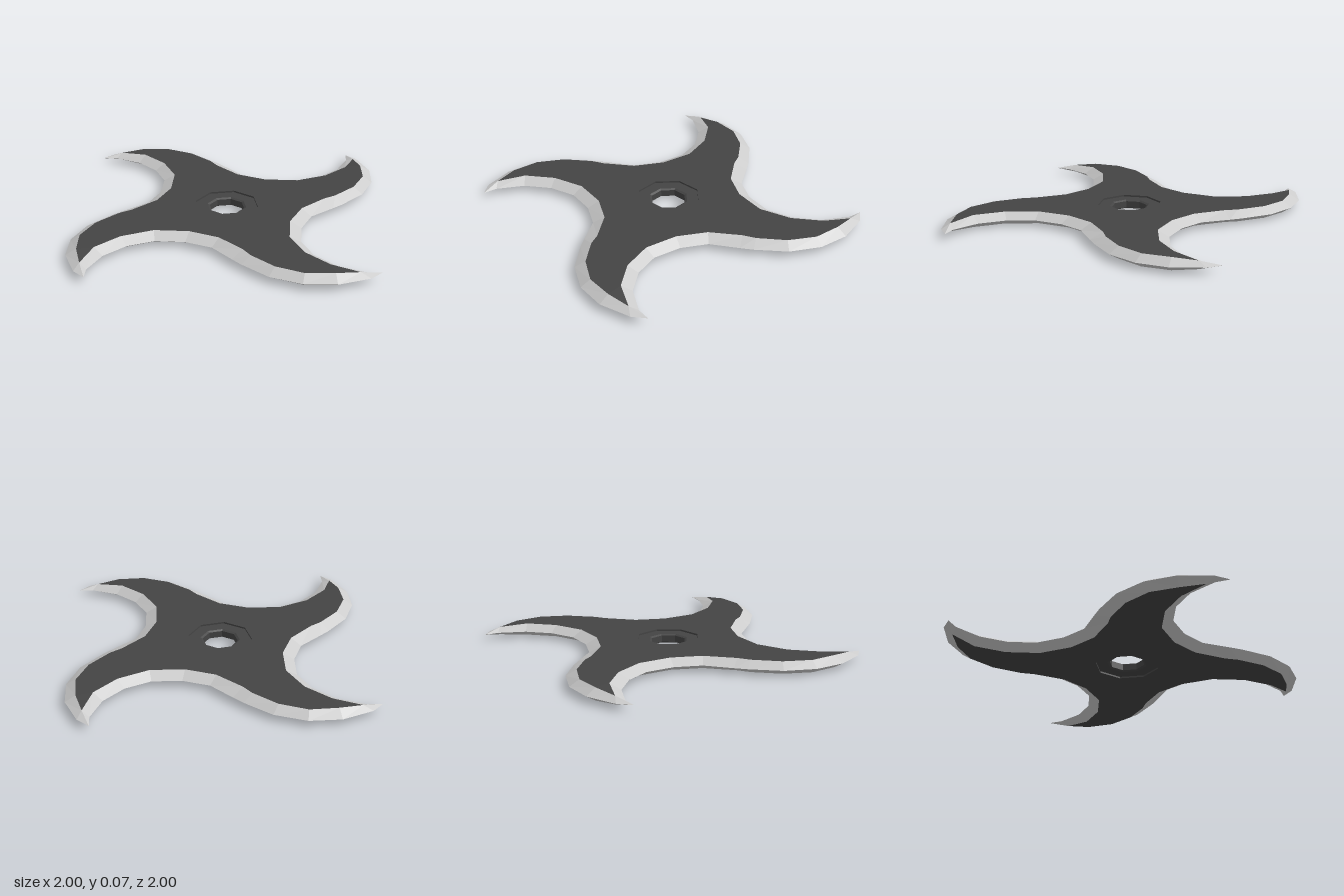
import * as THREE from 'three';

const H = 0.074, MID = H / 2, TIP_DROP = 0.013;
const HUB_X = -0.013, HUB_R = 0.195;

// One arm, counter-clockwise from above: [edge x, edge z, face x, face z]
const ARM = [
  [0.15, -0.476, 0.144, -0.406],
  [-0.016, -0.508, -0.043, -0.444],
  [-0.16, -0.62, -0.209, -0.556],
  [-0.225, -0.668, -0.267, -0.615],
  [-0.4, -0.77, -0.422, -0.711],
  [-0.594, -0.807, -0.594, -0.749],
  [-0.78, -0.77, -0.759, -0.711],
  [-0.947, -0.663, -0.888, -0.647],
  [-1, -0.583, -0.888, -0.647],
  [-0.914, -0.599, -0.888, -0.647],
  [-0.743, -0.561, -0.717, -0.62],
  [-0.6, -0.465, -0.556, -0.513],
  [-0.503, -0.326, -0.439, -0.348],
];
const isTip = (i) => i >= 7 && i <= 9;

// Quarter turns about the y axis
function turn(x, z, k) {
  for (let i = 0; i < k; i++) [x, z] = [z, -x];
  return [x, z];
}

// Adds a triangle wound so that it faces up (side 1) or down (side -1)
function addTriangle(out, a, b, c, side) {
  const ny = (b[2] - a[2]) * (c[0] - a[0]) - (b[0] - a[0]) * (c[2] - a[2]);
  if (Math.abs(ny) < 1e-9) return;
  out.push(...a, ...(ny * side > 0 ? [...b, ...c] : [...c, ...b]));
}

function makeMesh(name, positions, material) {
  const geometry = new THREE.BufferGeometry();
  geometry.setAttribute('position', new THREE.Float32BufferAttribute(positions, 3));
  geometry.computeVertexNormals();
  const mesh = new THREE.Mesh(geometry, material);
  mesh.name = name;
  return mesh;
}

export function createModel() {
  const group = new THREE.Group();
  group.name = 'throwingStar';
  const steel = new THREE.MeshStandardMaterial({ color: 0xcccccc, flatShading: true });
  const dark = new THREE.MeshStandardMaterial({ color: 0x444444, flatShading: true });

  for (const side of [1, -1]) {
    const y = MID + side * MID;
    const ring = [];
    for (let k = 0; k < 4; k++) {
      ARM.forEach(([ex, ez, fx, fz], i) => {
        const e = turn(ex, ez, k), f = turn(fx, fz, k);
        ring.push({
          tip: isTip(i),
          edge: [e[0], MID, e[1]],
          face: [f[0], isTip(i) ? y - side * TIP_DROP : y, f[1]],
        });
      });
    }

    // Sharpened bevel between the flat face and the cutting edge
    const bevel = [];
    ring.forEach((p, i) => {
      const q = ring[(i + 1) % ring.length];
      addTriangle(bevel, p.edge, q.edge, q.face, side);
      addTriangle(bevel, p.edge, q.face, p.face, side);
    });
    const label = side > 0 ? 'top' : 'bottom';
    group.add(makeMesh(label + 'Bevel', bevel, steel));

    // Flat face with an octagonal opening for the hub
    const flat = ring.filter((p) => !p.tip).map((p) => p.face);
    const hole = [];
    for (let i = 0; i < 8; i++) {
      const a = (i * Math.PI) / 4;
      hole.push([HUB_X + HUB_R * Math.sin(a), y, HUB_R * Math.cos(a)]);
    }
    const to2D = (p) => new THREE.Vector2(p[0], -p[2]);
    const all = [...flat, ...hole];
    const face = [];
    for (const [a, b, c] of THREE.ShapeUtils.triangulateShape(flat.map(to2D), [hole.map(to2D).reverse()])) {
      // the hole was reversed, so map its indices back
      const at = (n) => (n < flat.length ? all[n] : hole[7 - (n - flat.length)]);
      addTriangle(face, at(a), at(b), at(c), side);
    }
    // Sloping triangle at the point of each arm
    for (let k = 0; k < 4; k++) {
      const s = k * ARM.length;
      addTriangle(face, ring[s + 6].face, ring[s + 8].face, ring[s + 10].face, side);
    }
    group.add(makeMesh(label + 'Face', face, dark));
  }

  // Recessed hub rings and the wall of the centre hole
  const half = [[HUB_R, 0], [HUB_R, 0.01], [0.121, 0.01], [0.108, 0.017]];
  const profile = [
    ...half.map(([r, d]) => new THREE.Vector2(r, H - d)),
    ...half.map(([r, d]) => new THREE.Vector2(r, d)).reverse(),
  ];
  const hub = new THREE.Mesh(new THREE.LatheGeometry(profile, 8), dark);
  hub.name = 'hub';
  hub.position.x = HUB_X;
  group.add(hub);

  return group;
}
